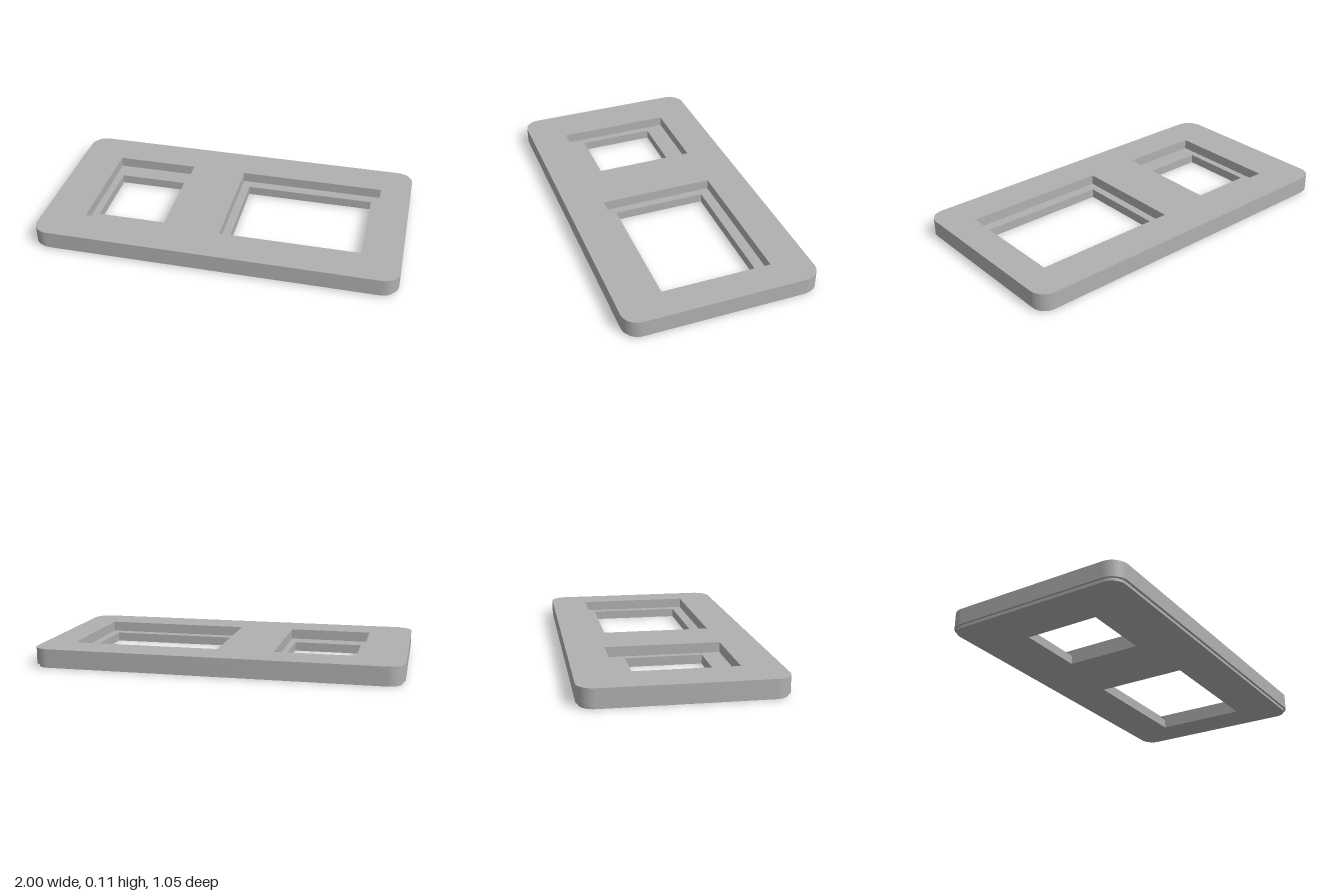
import * as THREE from 'three';
import { toCreasedNormals } from 'three/addons/utils/BufferGeometryUtils.js';

// Windows: x range and half depth of the through hole and of its wider recess
const holes = [[-0.72, -0.336, 0.211], [0.055, 0.78, 0.259]];
const recesses = [[-0.76, -0.3, 0.317], [0.01, 0.828, 0.317]];

function roundedRect(w, d, r) {
  const s = new THREE.Shape();
  s.absarc(w - r, d - r, r, 0, Math.PI / 2);
  s.absarc(r - w, d - r, r, Math.PI / 2, Math.PI);
  s.absarc(r - w, r - d, r, Math.PI, Math.PI * 1.5);
  s.absarc(w - r, r - d, r, Math.PI * 1.5, Math.PI * 2);
  s.closePath();
  return s;
}

// Horizontal slab between two heights, cut by rectangular openings
function slab(name, inset, y0, y1, openings, material) {
  const shape = roundedRect(1 - inset, 0.526 - inset, 0.09 - inset);
  for (const [x0, x1, z] of openings) {
    shape.holes.push(new THREE.Path([
      new THREE.Vector2(x0, -z), new THREE.Vector2(x0, z),
      new THREE.Vector2(x1, z), new THREE.Vector2(x1, -z),
    ]));
  }
  let geo = new THREE.ExtrudeGeometry(shape, { depth: y1 - y0, bevelEnabled: false, curveSegments: 12 });
  geo.rotateX(-Math.PI / 2);
  geo.translate(0, y0, 0);
  geo = toCreasedNormals(geo, Math.PI / 6);
  const mesh = new THREE.Mesh(geo, material);
  mesh.name = name;
  return mesh;
}

export function createModel() {
  const grey = new THREE.MeshStandardMaterial({ color: 0xb0b0b0 });
  grey.name = 'grey';
  const group = new THREE.Group();
  group.name = 'windowPlate';
  group.add(
    slab('bottomLip', 0.013, 0, 0.016, holes, grey),         // slightly inset foot
    slab('ledgePlate', 0, 0.016, 0.05, holes, grey),         // carries the recess ledges
    slab('upperFrame', 0, 0.05, 0.106, recesses, grey),      // walls around the recesses
  );
  return group;
}
